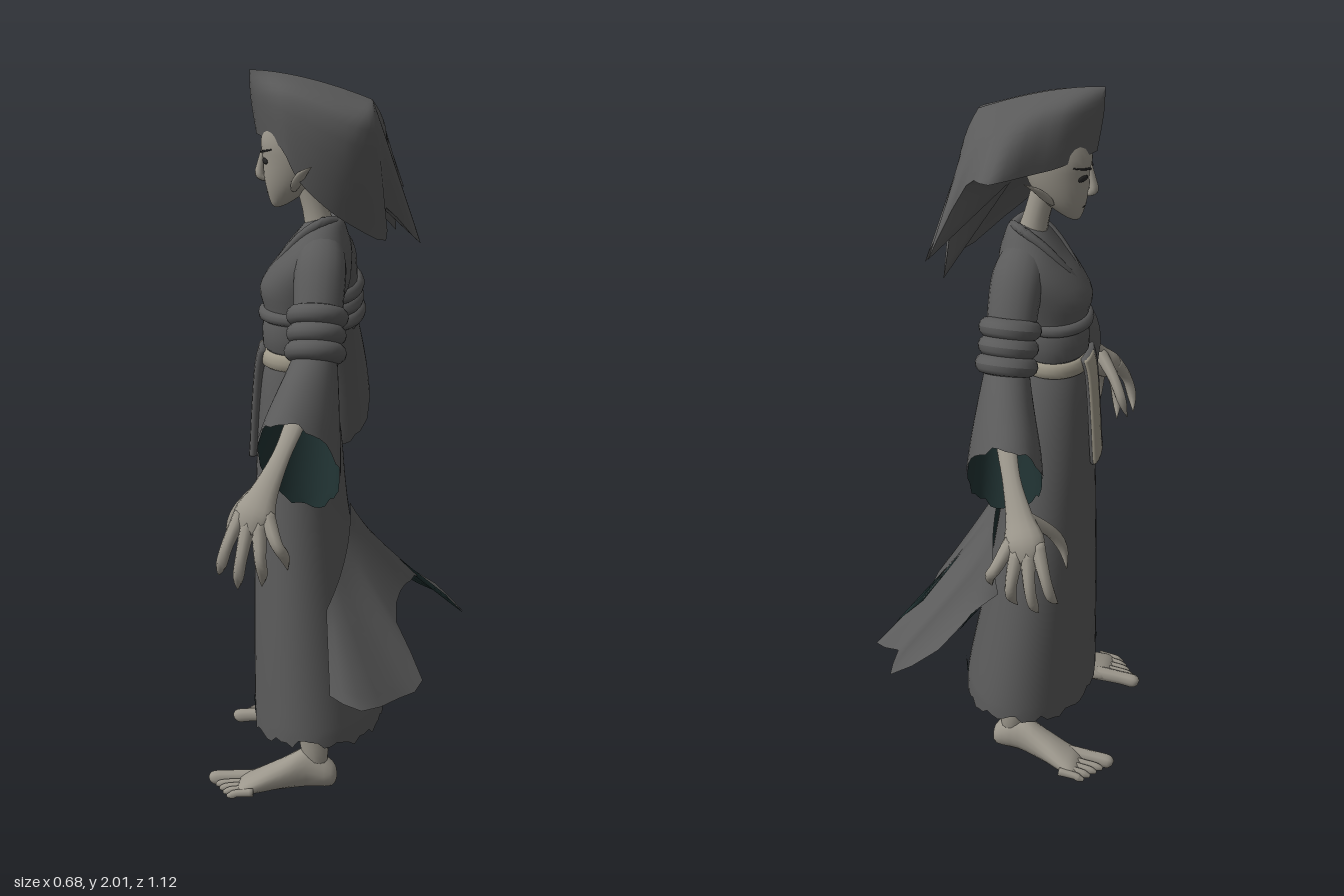
import * as THREE from 'three';
import { mergeVertices } from 'three/addons/utils/BufferGeometryUtils.js';

const V = (x, y, z) => new THREE.Vector3(x, y, z);
const TAU = Math.PI * 2;

// Smooth interpolation of rows of numbers, n steps between neighbouring rows
function smooth(rows, n) {
  const out = [];
  const at = (i) => rows[Math.max(0, Math.min(rows.length - 1, i))];
  for (let i = 0; i < rows.length - 1; i++) {
    for (let s = 0; s < n; s++) {
      const t = s / n;
      out.push(rows[i].map((p1, k) => {
        const p0 = at(i - 1)[k], p2 = at(i + 1)[k], p3 = at(i + 2)[k];
        return 0.5 * (2 * p1 + (p2 - p0) * t + (2 * p0 - 5 * p1 + 4 * p2 - p3) * t * t
          + (3 * p1 - p0 - 3 * p2 + p3) * t * t * t);
      }));
    }
  }
  out.push(rows[rows.length - 1]);
  return out;
}

// Surface through rows of points
function grid(rows) {
  const pos = [], idx = [], w = rows[0].length;
  rows.forEach((r) => r.forEach((p) => pos.push(p.x, p.y, p.z)));
  for (let i = 0; i < rows.length - 1; i++) {
    for (let j = 0; j < w - 1; j++) {
      const a = i * w + j, b = a + 1, c = a + w, d = c + 1;
      idx.push(a, b, c, b, d, c);
    }
  }
  let g = new THREE.BufferGeometry();
  g.setAttribute('position', new THREE.Float32BufferAttribute(pos, 3));
  g.setIndex(idx);
  g = mergeVertices(g, 1e-5);
  g.computeVertexNormals();
  return g;
}

// Ellipse c + a cos + b sin; a x b points along the loft
function ring(c, a, b, seg = 20) {
  return Array.from({ length: seg + 1 }, (_, j) => {
    const t = ((j % seg) / seg) * TAU;
    return c.clone().addScaledVector(a, Math.cos(t)).addScaledVector(b, Math.sin(t));
  });
}

// Upright stack of ellipses: [y, centre x, radius x, radius z]
const stackRows = (rows, n = 3, seg = 32) => smooth(rows, n).map(([y, cx, rx, rz]) =>
  ring(V(cx, y, 0), V(0, 0, rz), V(rx, 0, 0), seg));
const stack = (rows, n, seg) => grid(stackRows(rows, n, seg));

// Tapered limb along [x, y, z, radius] points
function limb(points, flat = 1, seg = 10, n = 4) {
  const p = smooth(points, n);
  const at = (i) => V(...p[Math.max(0, Math.min(p.length - 1, i))].slice(0, 3));
  const whole = at(p.length).sub(at(0)).normalize();
  const ref = Math.abs(whole.x) > 0.8 ? V(0, 1, 0) : V(1, 0, 0);
  const rows = p.map((q, i) => {
    const t = at(i + 1).sub(at(i - 1)).normalize();
    const a = ref.clone().cross(t).normalize();
    const b = t.clone().cross(a);
    const r = Math.max(q[3], 0.0005);
    return ring(at(i), a.multiplyScalar(r * flat), b.multiplyScalar(r), seg);
  });
  const cap = (q) => Array.from({ length: seg + 1 }, () => q.clone());
  return grid([cap(at(0)), ...rows, cap(at(p.length))]);
}

// Same surface seen from its other side
function flip(src) {
  const g = src.clone(), ix = g.index.array;
  for (let i = 0; i < ix.length; i += 3) [ix[i], ix[i + 1]] = [ix[i + 1], ix[i]];
  g.computeVertexNormals();
  return g;
}
const mirror = (g) => flip(g.clone().scale(1, 1, -1));

// Inner side of a cloth, set slightly inward
function inside(src) {
  const g = flip(src), p = g.attributes.position, n = g.attributes.normal;
  for (let i = 0; i < p.count; i++) {
    p.setXYZ(i, p.getX(i) + n.getX(i) * 0.004, p.getY(i) + n.getY(i) * 0.004, p.getZ(i) + n.getZ(i) * 0.004);
  }
  return g;
}

const ragged = (j) => Math.sin(j * 1.4) * 0.6 + Math.sin(j * 2.9 + 1) * 0.4;

export function createModel() {
  const model = new THREE.Group();
  const mat = (name, color) => {
    const m = new THREE.MeshStandardMaterial({ color });
    m.name = name;
    return m;
  };
  const cloth = mat('charcoal cloth', 0x5a5a5a), skin = mat('pale skin', 0x9c978c);
  const lining = mat('dark teal lining', 0x203232), sash = mat('beige sash', 0x9f9989);
  const dark = mat('dark eye', 0x262626);
  const add = (name, g, m) => {
    const mesh = new THREE.Mesh(g, m);
    mesh.name = name;
    model.add(mesh);
  };
  const pair = (name, g, m) => {
    add(name + 'Left', g, m);
    add(name + 'Right', mirror(g), m);
  };

  // Robe: torso, wide waistband, belt and hanging sash
  add('torso', stack([[1.22, -0.11, 0.085, 0.09], [1.3, -0.11, 0.083, 0.092], [1.36, -0.1, 0.098, 0.1],
    [1.42, -0.09, 0.12, 0.112], [1.48, -0.07, 0.108, 0.122], [1.53, -0.05, 0.088, 0.115],
    [1.57, -0.04, 0.068, 0.085], [1.605, -0.032, 0.048, 0.052], [1.615, -0.03, 0.03, 0.03]]), cloth);
  const band = (y0, y1, cx, rx, rz) => stack([[y0, cx, rx - 0.018, rz - 0.018], [y0 + 0.008, cx, rx, rz],
    [y1 - 0.008, cx, rx, rz], [y1, cx, rx - 0.018, rz - 0.018]], 2);
  add('waistband', band(1.25, 1.34, -0.108, 0.094, 0.102), cloth);
  add('waistbandEdge', band(1.33, 1.368, -0.106, 0.106, 0.11), cloth);
  add('belt', band(1.2, 1.25, -0.11, 0.096, 0.1), sash);
  const strip = (dx, dz, r) => limb([[-0.2, 1.25, 0], [-0.212, 1.2, 0], [-0.222, 1.08, 0],
    [-0.228, 0.97, 0.003], [-0.23, 0.935, 0.008]].map(([x, y, z]) => [x + dx, y, z + dz, r]), 4, 12);
  add('sashBacking', strip(0, 0, 0.014), cloth);
  add('hangingSash', strip(-0.005, -0.012, 0.011), sash);
  pair('collar', limb([[0.005, 1.6, 0, 0.013], [-0.03, 1.61, 0.048, 0.013], [-0.09, 1.57, 0.052, 0.012],
    [-0.15, 1.5, 0.033, 0.01], [-0.2, 1.43, 0, 0.006]], 1, 8), cloth);

  // Long skirt with a torn, slit hem and a lining
  const skirtRows = stackRows([[1.21, -0.11, 0.086, 0.092], [1.15, -0.11, 0.098, 0.108],
    [1, -0.105, 0.115, 0.14], [0.8, -0.1, 0.127, 0.18], [0.5, -0.08, 0.153, 0.235],
    [0.26, -0.058, 0.176, 0.272], [0.19, -0.053, 0.182, 0.28]], 3, 64);
  skirtRows[skirtRows.length - 1].forEach((p, j) => {
    p.y += 0.014 * ragged(j % 64) - 0.035 * Math.abs(Math.sin(((j % 64) / 64) * TAU));
    if ([20, 52].includes(j)) p.y += 0.09;
  });
  const skirt = flip(grid(skirtRows));
  add('skirt', skirt, cloth);
  add('skirtLining', inside(skirt), lining);

  // Torn cloth flaring out behind the skirt
  const hem = smooth([[0.06, 0.53, -0.27], [0.13, 0.45, -0.35], [0.26, 0.37, -0.39], [0.25, 0.42, -0.34],
    [0.34, 0.37, -0.26], [0.22, 0.5, -0.2], [0.2, 0.53, -0.1], [0.18, 0.54, 0], [0.18, 0.49, 0.1],
    [0.26, 0.34, 0.15], [0.2, 0.31, 0.21], [0.11, 0.32, 0.32], [0.02, 0.35, 0.3]], 2);
  const tailRows = Array.from({ length: 9 }, (_, i) => hem.map((h, j) => {
    const u = (j / (hem.length - 1)) * 2 - 1, v = i / 8, d = 0.24 * Math.abs(u);
    const phi = u * 1.08;
    const top = V(-0.092 + d * 0.077 + (0.128 + d * 0.09) * Math.cos(phi), 0.8 - d,
      (0.186 + d * 0.18) * Math.sin(phi));
    const w = Math.pow(v, 1.1);
    return V(top.x + (h[0] - top.x) * w, top.y + (h[1] - top.y) * v, top.z + (h[2] - top.z) * w);
  }));
  const tail = grid(tailRows);
  add('backCloth', tail, cloth);
  add('backClothLining', inside(tail), lining);

  // Sleeves: upper arm, padded rings and wide torn cuff
  pair('upperSleeve', limb([[-0.035, 1.545, 0.025, 0.05], [-0.032, 1.5, 0.09, 0.068],
    [-0.03, 1.41, 0.148, 0.066], [-0.03, 1.26, 0.21, 0.06]], 0.9, 18), cloth);
  const armAxis = V(0, -0.9, 0.43).normalize();
  for (let k = 0; k < 3; k++) {
    const g = new THREE.TorusGeometry(k === 1 ? 0.053 : 0.056, 0.027, 12, 28);
    g.applyQuaternion(new THREE.Quaternion().setFromUnitVectors(V(0, 0, 1), armAxis));
    g.translate(-0.03, 1.385 - k * 0.043, 0.168 + k * 0.02);
    pair('sleeveRing' + (k + 1), g, cloth);
  }
  // rows: centre, top-edge half axis, half width
  const cuffRows = smooth([[-0.03, 1.29, 0.2, 0, 0.026, 0.05, 0.057], [-0.04, 1.19, 0.255, -0.01, 0.078, 0.06, 0.078],
    [-0.05, 1.1, 0.3, -0.018, 0.115, 0.075, 0.096], [-0.056, 1.028, 0.335, -0.025, 0.145, 0.085, 0.105]], 4)
    .map(([x, y, z, ax, ay, az, w]) => ring(V(x, y, z), V(ax, ay, az), V(-w, 0, 0), 36));
  cuffRows[cuffRows.length - 1].forEach((p, j) => p.addScaledVector(V(0, -0.8, 0.4), 0.012 * ragged(j % 36)));
  const cuff = grid(cuffRows);
  pair('wideSleeve', cuff, cloth);
  pair('sleeveLining', inside(cuff), lining);

  // Forearms, palms and long clawed fingers
  pair('forearm', limb([[-0.03, 1.28, 0.2, 0.03], [-0.06, 1.16, 0.33, 0.028], [-0.09, 1.08, 0.4, 0.024],
    [-0.125, 1.0, 0.455, 0.036], [-0.147, 0.945, 0.49, 0.055], [-0.15, 0.9, 0.51, 0.035]], 0.6, 12), skin);
  const fingers = [
    [[-0.18, 0.95, 0.49], [-0.21, 0.88, 0.53], [-0.228, 0.82, 0.53], [-0.24, 0.78, 0.5]],
    [[-0.16, 0.93, 0.505], [-0.173, 0.85, 0.54], [-0.183, 0.79, 0.535], [-0.19, 0.745, 0.505]],
    [[-0.132, 0.93, 0.505], [-0.125, 0.85, 0.54], [-0.122, 0.8, 0.525], [-0.13, 0.75, 0.49]],
    [[-0.115, 0.95, 0.49], [-0.085, 0.89, 0.532], [-0.065, 0.85, 0.522], [-0.062, 0.8, 0.49]],
    [[-0.14, 1.0, 0.455], [-0.195, 0.94, 0.41], [-0.225, 0.88, 0.388], [-0.24, 0.82, 0.4]]];
  const radii = [0.021, 0.016, 0.014, 0.001];
  fingers.forEach((f, k) => pair(k < 4 ? 'finger' + (k + 1) : 'thumb',
    limb(f.map((p, i) => [...p, radii[i]]), 1, 8), skin));

  // Legs, bare feet and toes
  pair('leg', limb([[-0.06, 0.65, 0.12, 0.06], [-0.06, 0.3, 0.165, 0.05], [-0.05, 0.19, 0.17, 0.041],
    [-0.04, 0.11, 0.172, 0.038], [-0.035, 0.06, 0.174, 0.028]], 0.85, 14), skin);
  const footRows = smooth([[0.022, 0.035, 0.168, 0.002, 0.003], [0.008, 0.04, 0.168, 0.032, 0.036],
    [-0.06, 0.06, 0.175, 0.039, 0.059], [-0.13, 0.045, 0.195, 0.047, 0.044],
    [-0.2, 0.03, 0.22, 0.056, 0.029], [-0.235, 0.022, 0.23, 0.056, 0.02], [-0.255, 0.016, 0.232, 0.04, 0.006]], 3)
    .map(([x, y, z, w, h]) => ring(V(x, y, z), V(0, 0, w), V(0, h, 0), 16));
  pair('foot', grid(footRows), skin);
  for (let k = 0; k < 5; k++) {
    const z = k ? 0.203 + k * 0.02 : 0.192, r = k ? 0.013 : 0.024, end = k ? -0.33 + k * 0.014 : -0.34;
    pair('toe' + (k + 1), limb([[-0.2, 0.026, z, r], [(end - 0.22) / 2, 0.02, z, r * 0.9],
      [end + 0.015, 0.014, z, r * 0.9], [end, 0.01, z, r * 0.4]], 0.8, 8), skin);
  }

  // Neck, head and face
  add('neck', limb([[-0.04, 1.55, 0, 0.045], [-0.06, 1.64, 0, 0.034], [-0.09, 1.75, 0, 0.036]], 1, 14), skin);
  add('head', stack([[1.635, -0.163, 0.004, 0.004], [1.645, -0.155, 0.022, 0.02], [1.68, -0.135, 0.053, 0.042],
    [1.72, -0.12, 0.075, 0.057], [1.77, -0.112, 0.086, 0.067], [1.82, -0.11, 0.092, 0.07],
    [1.88, -0.1, 0.08, 0.062], [1.91, -0.1, 0.03, 0.03]]), skin);
  add('nose', limb([[-0.196, 1.79, 0, 0.007], [-0.205, 1.75, 0, 0.01], [-0.207, 1.722, 0, 0.013],
    [-0.19, 1.71, 0, 0.007]], 1, 8), skin);
  pair('ear', limb([[-0.11, 1.69, 0.045, 0.006], [-0.1, 1.715, 0.066, 0.014], [-0.08, 1.745, 0.09, 0.012],
    [-0.052, 1.77, 0.115, 0.001]], 0.5), skin);
  pair('eye', new THREE.SphereGeometry(1, 12, 8).scale(0.004, 0.008, 0.019).rotateY(0.5)
    .translate(-0.187, 1.765, 0.034), dark);
  pair('eyebrow', limb([[-0.201, 1.785, 0.012, 0.003], [-0.188, 1.792, 0.035, 0.003],
    [-0.166, 1.8, 0.056, 0.002]], 1, 6), dark);
  add('mouth', new THREE.SphereGeometry(1, 12, 8).scale(0.004, 0.003, 0.018).translate(-0.184, 1.678, 0), dark);

  // Hair: one swept hood. Each column is a crest point, then a point of the spiky lower edge
  const hairColumns = smooth([
    [-0.228, 1.93, 0.01, -0.215, 1.83, 0], [-0.16, 1.94, 0.066, -0.14, 1.81, 0.07],
    [-0.1, 1.93, 0.088, -0.095, 1.73, 0.08], [-0.02, 1.9, 0.098, -0.03, 1.66, 0.07],
    [0.06, 1.87, 0.09, 0.04, 1.6, 0.035], [0.105, 1.86, 0.06, 0.125, 1.54, -0.05],
    [0.115, 1.85, 0.03, 0.125, 1.63, -0.05], [0.12, 1.85, 0, 0.213, 1.52, -0.11],
    [0.12, 1.83, -0.04, 0.145, 1.65, -0.14], [0.12, 1.83, -0.07, 0.135, 1.53, -0.21],
    [0.115, 1.84, -0.1, 0.12, 1.68, -0.2], [0.1, 1.85, -0.13, 0.145, 1.63, -0.31],
    [0.06, 1.89, -0.13, 0.075, 1.79, -0.2], [-0.01, 1.92, -0.12, 0, 1.83, -0.27],
    [-0.09, 1.94, -0.085, -0.08, 1.81, -0.14], [-0.16, 1.945, -0.055, -0.14, 1.81, -0.075],
    [-0.228, 1.93, 0.01, -0.215, 1.83, 0]], 3);
  const hairStrips = hairColumns.map((c) => {
    const x = Math.max(-0.23, Math.min(0.09, c[0] - 0.02));
    const ridge = [x, 2 - 0.08 * Math.pow((x + 0.23) / 0.33, 1.7), 0.01 - 0.1 * (x + 0.23)];
    return smooth([ridge, c.slice(0, 3), c.slice(3)], 5).map((p) => V(...p));
  });
  add('hair', flip(grid(hairStrips[0].map((_, i) => hairStrips.map((s) => s[i])))), cloth);
  const hairEdge = hairStrips.map((s) => s[s.length - 1]);
  add('hairUnderside', flip(grid([hairEdge, hairEdge.map(() => V(0, 1.74, -0.03))])), cloth);

  return model;
}
